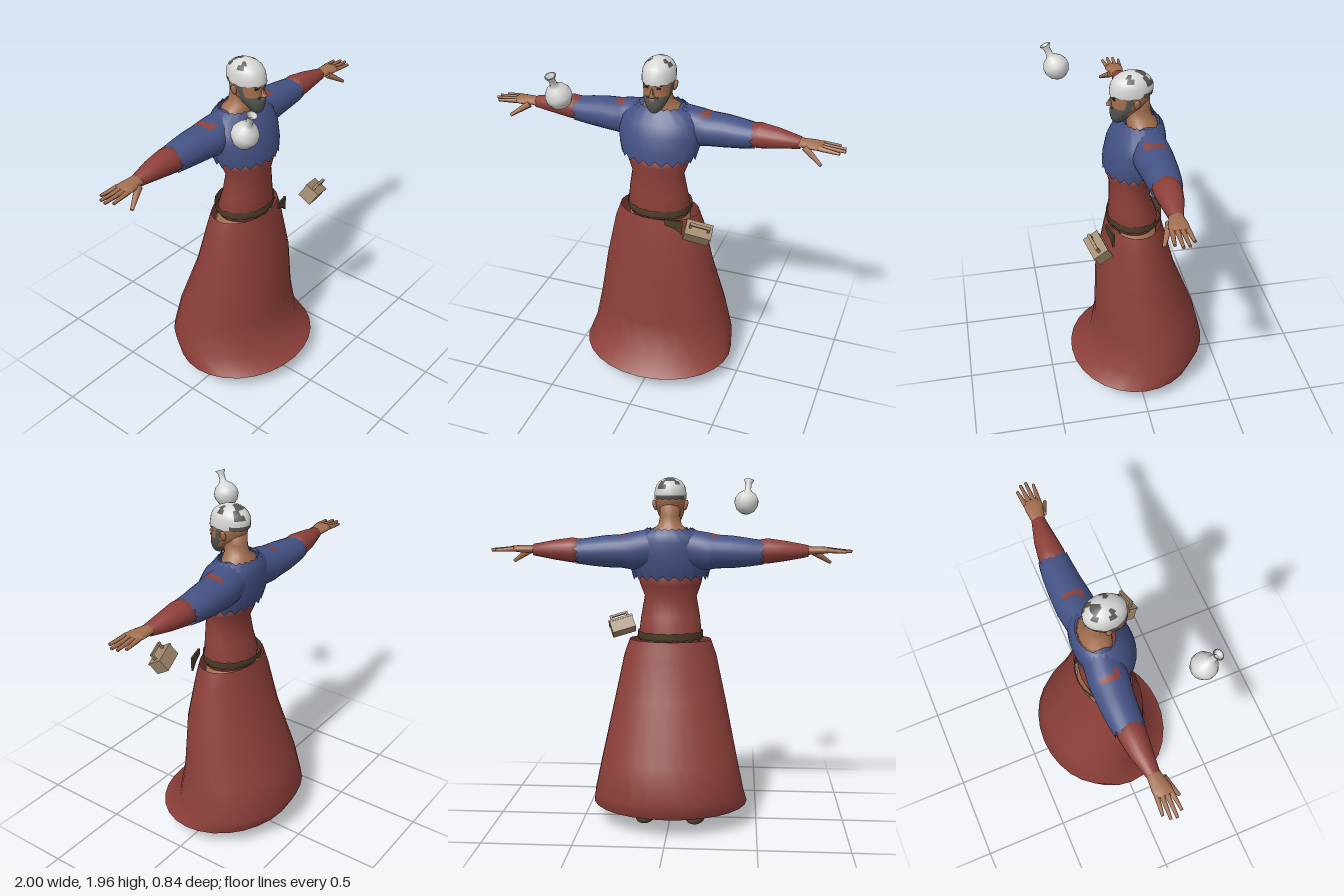
import * as THREE from 'three';

const mat = (name, color, side = THREE.FrontSide) => {
  const m = new THREE.MeshStandardMaterial({ color, side });
  m.name = name;
  return m;
};
const V = (x, y, z) => new THREE.Vector3(x, y, z);

// Cross-section rules: upright rows are [y, halfX, zFront, zBack, centreX, zigzag],
// sideways rows are [x, yTop, yBottom, zFront, zBack, zigzag].
const upright = ([y, rx, zf, zb, cx = 0, zig = 0], a, j) =>
  V(cx + rx * Math.sin(a), y + (j % 2 ? zig : -zig), (zf + zb) / 2 + (zf - zb) / 2 * Math.cos(a));
const sideways = ([x, yt, yb, zf, zb, zig = 0], a, j) =>
  V(x + (j % 2 ? zig : -zig), (yt + yb) / 2 + (yt - yb) / 2 * Math.cos(a), (zf + zb) / 2 + (zf - zb) / 2 * Math.sin(a));

// Skin over rows of cross-sections; pick(row, angle) chooses the second colour.
function loft(rows, n, place, { start = true, end = true, pick } = {}) {
  const pos = [], faces = [[], []];
  const ring = rows.map(r => Array.from({ length: n }, (_, j) => place(r, j / n * Math.PI * 2, j)));
  ring.forEach(r => r.forEach(p => pos.push(p.x, p.y, p.z)));
  for (let i = 0; i < rows.length - 1; i++) for (let j = 0; j < n; j++) {
    let a = (j + 0.5) / n * Math.PI * 2;
    if (a > Math.PI) a -= Math.PI * 2;
    const k = (j + 1) % n, p = i * n, q = p + n;
    faces[pick && pick(i, a) ? 1 : 0].push(p + j, p + k, q + j, p + k, q + k, q + j);
  }
  const cap = (i, flip) => {
    const c = ring[i].reduce((s, p) => s.add(p), V(0, 0, 0)).divideScalar(n), id = pos.length / 3;
    pos.push(c.x, c.y, c.z);
    for (let j = 0; j < n; j++) {
      const p = i * n + j, q = i * n + (j + 1) % n;
      faces[0].push(id, flip ? q : p, flip ? p : q);
    }
  };
  if (start) cap(0, true);
  if (end) cap(rows.length - 1, false);
  const g = new THREE.BufferGeometry();
  g.setAttribute('position', new THREE.Float32BufferAttribute(pos, 3));
  g.setIndex([...faces[0], ...faces[1]]);
  if (pick) {
    g.addGroup(0, faces[0].length, 0);
    g.addGroup(faces[0].length, faces[1].length, 1);
  }
  g.computeVertexNormals();
  return g;
}

// Tapered round limb between two points
function limb(from, to, r0, r1) {
  const d = to.clone().sub(from);
  const g = new THREE.CylinderGeometry(r1, r0, d.length(), 8);
  g.applyQuaternion(new THREE.Quaternion().setFromUnitVectors(V(0, 1, 0), d.clone().normalize()));
  return g.translate(...from.clone().add(to).multiplyScalar(0.5).toArray());
}

function mirrored(geometry) {
  const g = geometry.clone().scale(-1, 1, 1), ix = g.index.array;
  for (let i = 0; i < ix.length; i += 3) [ix[i], ix[i + 1]] = [ix[i + 1], ix[i]];
  g.computeVertexNormals();
  return g;
}

export function createModel() {
  const model = new THREE.Group();
  model.name = 'robedMan';
  const red = mat('redCloth', 0x8e403a, THREE.DoubleSide);
  const blue = mat('blueCloth', 0x445284, THREE.DoubleSide);
  const skin = mat('skin', 0xa36f50);
  const white = mat('white', 0xd6d6d4, THREE.DoubleSide);
  const grey = mat('greyHair', 0x565652, THREE.DoubleSide);
  const leather = mat('shoeLeather', 0x584a36);
  const strap = mat('beltLeather', 0x4c3d29, THREE.DoubleSide);
  const wood = mat('wood', 0xa0886c);
  const dark = mat('eyeDark', 0x2a211c);

  const add = (name, g, m, parent = model) => {
    const mesh = new THREE.Mesh(g, m);
    mesh.name = name;
    parent.add(mesh);
    return mesh;
  };
  const pair = (name, g, m) => {
    add(name + 'Left', g, m);
    add(name + 'Right', mirrored(g), m);
  };
  const open = { start: false, end: false };

  // Flared skirt, open below
  add('skirt', loft([
    [0.12, 0.445, 0.375, -0.375], [0.21, 0.425, 0.255, -0.42], [0.40, 0.385, 0.222, -0.372],
    [0.72, 0.318, 0.21, -0.25], [0.98, 0.262, 0.16, -0.182], [1.07, 0.23, 0.142, -0.16],
  ], 28, upright, open), red);

  // Torso and ragged tunic
  add('torso', loft([
    [1.04, 0.165, 0.12, -0.13], [1.10, 0.178, 0.135, -0.14], [1.20, 0.166, 0.127, -0.105],
    [1.31, 0.147, 0.126, -0.09], [1.38, 0.172, 0.14, -0.12], [1.46, 0.19, 0.14, -0.14],
  ], 28, upright), red);
  add('tunic', loft([
    [1.42, 0.208, 0.16, -0.148, 0, 0.014], [1.48, 0.226, 0.156, -0.17], [1.56, 0.232, 0.137, -0.18],
    [1.62, 0.222, 0.105, -0.178], [1.66, 0.18, 0.07, -0.17], [1.69, 0.125, 0.048, -0.148, 0, 0.006],
  ], 40, upright, open), blue);
  add('belt', loft([
    [1.073, 0.18, 0.14, -0.158, 0, 0.004], [1.085, 0.186, 0.146, -0.165], [1.118, 0.185, 0.142, -0.165, 0, 0.003],
  ], 32, upright, open), strap);
  const tail = new THREE.Shape([[-0.05, 0.05], [0.05, 0.04], [0.045, -0.045], [0.01, -0.01], [-0.05, 0.015]]
    .map(p => new THREE.Vector2(...p)));
  const tailMesh = add('beltTail', new THREE.ExtrudeGeometry(tail, { depth: 0.012, bevelEnabled: false }), strap);
  tailMesh.position.set(0.135, 1.045, 0.142);
  tailMesh.rotation.y = 0.25;

  // Arms: torn blue sleeves over red undersleeves
  pair('sleeve', loft([
    [0.10, 1.69, 1.47, 0.03, -0.165], [0.21, 1.672, 1.465, 0.035, -0.178], [0.235, 1.667, 1.47, 0.033, -0.178],
    [0.265, 1.66, 1.475, 0.03, -0.178], [0.35, 1.655, 1.478, 0.018, -0.176], [0.44, 1.642, 1.487, 0.01, -0.17],
    [0.51, 1.632, 1.498, 0.004, -0.16, 0.01],
  ], 24, sideways, {
    ...open, pick: (i, a) => (i === 2 && Math.abs(a) < 0.4) || (i === 1 && Math.abs(a - 0.4) < 0.2),
  }), [blue, red]);
  pair('undersleeve', loft([
    [0.46, 1.63, 1.505, -0.005, -0.15], [0.54, 1.641, 1.503, -0.004, -0.15], [0.64, 1.627, 1.518, -0.015, -0.135],
    [0.76, 1.604, 1.54, -0.028, -0.102],
  ], 18, sideways), red);

  // Hands with spread fingers
  pair('palm', loft([
    [0.72, 1.598, 1.545, -0.032, -0.098], [0.78, 1.598, 1.553, -0.022, -0.102],
    [0.84, 1.597, 1.556, -0.005, -0.108], [0.88, 1.592, 1.562, -0.005, -0.105],
  ], 14, sideways), skin);
  [[-0.093, -0.105, 0.965], [-0.068, -0.075, 0.995], [-0.043, -0.043, 1.0], [-0.019, -0.008, 0.975]].forEach(([z0, z1, x], i) =>
    pair('finger' + (i + 1), limb(V(0.865, 1.577, z0), V(x, 1.57, z1), 0.014, 0.008), skin));
  pair('thumb', limb(V(0.79, 1.567, -0.025), V(0.89, 1.503, 0.022), 0.02, 0.009), skin);

  // Legs and shoes
  pair('leg', loft([
    [0.09, 0.04, -0.03, -0.12, 0.142], [0.30, 0.055, 0, -0.135, 0.14], [0.55, 0.062, 0.04, -0.115, 0.13],
    [0.90, 0.085, 0.09, -0.13, 0.1], [1.05, 0.085, 0.09, -0.12, 0.09],
  ], 14, upright), skin);
  pair('shoe', loft([
    [0.01, 0.058, 0.14, -0.135, 0.145], [0.035, 0.064, 0.152, -0.14, 0.145], [0.055, 0.06, 0.14, -0.14, 0.145],
    [0.085, 0.052, 0.06, -0.138, 0.142], [0.105, 0.048, 0.0, -0.135, 0.14], [0.135, 0.046, -0.015, -0.13, 0.14],
  ], 18, upright), leather);

  // Neck and head; the second colour paints beard and sideburns
  add('neck', loft([
    [1.645, 0.13, 0.03, -0.14], [1.682, 0.105, 0.03, -0.135], [1.71, 0.065, 0.03, -0.11],
    [1.76, 0.055, 0.035, -0.10], [1.83, 0.06, 0.035, -0.095],
  ], 20, upright), skin);
  add('head', loft([
    [1.69, 0.02, 0.10, 0.05], [1.705, 0.038, 0.11, 0.03], [1.735, 0.056, 0.117, 0.0],
    [1.765, 0.07, 0.116, -0.035], [1.785, 0.075, 0.111, -0.07], [1.82, 0.081, 0.108, -0.095],
    [1.86, 0.084, 0.112, -0.103], [1.92, 0.075, 0.095, -0.095], [1.95, 0.04, 0.05, -0.05],
  ], 36, upright, {
    pick: (i, a) => {
      const t = Math.abs(a);
      return i < 2 || (i === 2 && t < 1.8) || (i === 3 && t < 1.75 && t > 0.22) ||
        (i >= 4 && i <= 5 && t > 1.15 && t < 1.6);
    },
  }), [skin, grey]);
  add('moustache', new THREE.BoxGeometry(0.06, 0.009, 0.012).translate(0, 1.783, 0.109), grey);
  const nose = new THREE.ConeGeometry(0.018, 0.055, 4, 1).rotateY(Math.PI / 4).rotateX(-0.25);
  add('nose', nose.translate(0, 1.814, 0.115), skin);
  pair('eye', new THREE.BoxGeometry(0.024, 0.009, 0.008).rotateY(0.35).translate(0.032, 1.834, 0.1), dark);
  pair('eyebrow', new THREE.BoxGeometry(0.036, 0.007, 0.009).rotateZ(0.12).rotateY(0.35).translate(0.034, 1.849, 0.104), grey);
  pair('ear', new THREE.SphereGeometry(0.03, 10, 8).scale(0.4, 1, 0.6).rotateZ(-0.25).translate(0.086, 1.818, -0.012), skin);

  // Torn head wrap with hair showing through
  add('headWrap', loft([
    [1.85, 0.088, 0.119, -0.11, 0, 0.003], [1.872, 0.089, 0.118, -0.114], [1.905, 0.086, 0.112, -0.113],
    [1.93, 0.076, 0.096, -0.098], [1.95, 0.058, 0.07, -0.074], [1.963, 0.034, 0.038, -0.046], [1.968, 0.015, 0.014, -0.02],
  ], 28, upright, {
    start: false,
    pick: (i, a) => {
      const t = Math.abs(a);
      return (i === 0 && t > 2.0) || ((i === 4 || i === 5) && t > 2.5) || (i === 3 && t > 1.1 && t < 1.55) ||
        (i === 4 && t > 0.9 && t < 1.3) || (i === 2 && a > 2.2 && a < 2.9) || (i === 3 && t > 2.2 && t < 2.7);
    },
  }), [white, grey]);

  // Floating flask
  const flask = add('flask', new THREE.LatheGeometry([
    [0, -0.07], [0.03, -0.066], [0.055, -0.047], [0.07, -0.012], [0.069, 0.015], [0.052, 0.046], [0.028, 0.064],
    [0.018, 0.078], [0.018, 0.115], [0.03, 0.136], [0.022, 0.136], [0.012, 0.11],
  ].map(p => new THREE.Vector2(...p)), 20), white);
  flask.position.set(-0.422, 1.827, 0.34);
  flask.quaternion.setFromUnitVectors(V(0, 1, 0), V(-0.1, 0.9, -0 + 0.38).normalize());

  // Floating tilted box with a carrying handle
  const chest = new THREE.Group();
  chest.name = 'handledBox';
  const up = V(0.35, 0.82, 0.45).normalize();
  const along = V(0.9, -0.38, -0.32);
  along.addScaledVector(up, -along.dot(up)).normalize();
  chest.quaternion.setFromRotationMatrix(new THREE.Matrix4().makeBasis(along, up, along.clone().cross(up)));
  chest.position.set(0.303, 1.1, 0.24);
  add('boxBody', new THREE.BoxGeometry(0.14, 0.08, 0.085), wood, chest);
  add('boxLid', new THREE.BoxGeometry(0.146, 0.012, 0.09).translate(0, 0.036, 0), wood, chest);
  add('handleBar', new THREE.BoxGeometry(0.11, 0.012, 0.016).translate(0, 0.076, 0), wood, chest);
  for (const s of [-1, 1])
    add('handlePost', new THREE.BoxGeometry(0.012, 0.04, 0.016).translate(s * 0.049, 0.056, 0), wood, chest);
  model.add(chest);

  return model;
}
